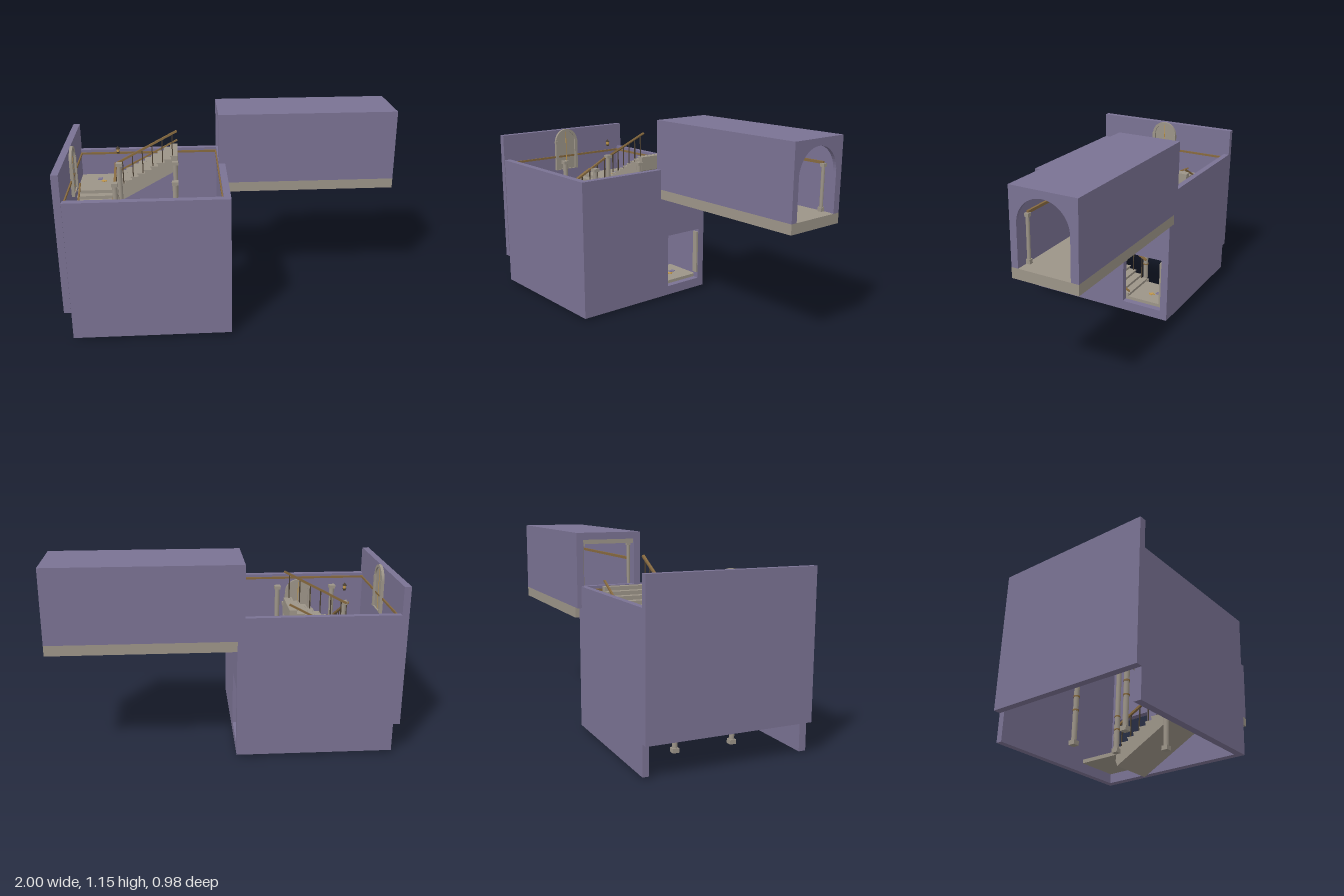
import * as THREE from 'three';

const mat = (name, color) => {
  const m = new THREE.MeshStandardMaterial({ color });
  m.name = name;
  return m;
};

export function createModel() {
  const wall = mat('purple plaster', 0x7a7293);
  const stone = mat('warm stone', 0x9c9488);
  const wood = mat('rail wood', 0x86693f);
  const dark = mat('dark iron', 0x4b4032);
  const gold = mat('gold', 0xc2984c);

  const model = new THREE.Group();
  model.name = 'stairTower';

  const add = (name, geo, m, parent = model) => {
    const mesh = new THREE.Mesh(geo, m);
    mesh.name = name;
    parent.add(mesh);
    return mesh;
  };
  // Box given by its lower and upper corners
  const box = (name, a, b, m, parent = model) => {
    const mesh = add(name, new THREE.BoxGeometry(b[0] - a[0], b[1] - a[1], b[2] - a[2]), m, parent);
    mesh.position.set((a[0] + b[0]) / 2, (a[1] + b[1]) / 2, (a[2] + b[2]) / 2);
    return mesh;
  };
  const poly = (pts) => new THREE.Shape(pts.map((p) => new THREE.Vector2(p[0], p[1])));
  const rect = (x0, y0, x1, y1) => poly([[x0, y0], [x1, y0], [x1, y1], [x0, y1]]);
  const extrude = (shape, depth) =>
    new THREE.ExtrudeGeometry(shape, { depth, bevelEnabled: false, curveSegments: 14 });
  // Round-headed outline, open at the bottom edge
  const arch = (cx, y0, halfWidth, top) => {
    const s = new THREE.Shape();
    s.moveTo(cx - halfWidth, y0);
    s.lineTo(cx + halfWidth, y0);
    s.lineTo(cx + halfWidth, top - halfWidth);
    s.absarc(cx, top - halfWidth, halfWidth, 0, Math.PI, false);
    s.lineTo(cx - halfWidth, y0);
    return s;
  };
  // Extrusion along +x of a shape drawn in (-z, y)
  const sideways = (name, shape, x, depth, m, parent) => {
    const mesh = add(name, extrude(shape, depth), m, parent);
    mesh.rotation.y = Math.PI / 2;
    mesh.position.x = x;
    return mesh;
  };

  // Tower walls, with an entrance in the right-hand wall
  box('frontWall', [-0.96, 0.012, 0.445], [-0.05, 0.845, 0.487], wall);
  box('backWall', [-0.96, 0.012, -0.465], [-0.05, 0.845, -0.43], wall);
  box('tallSideWall', [-1, 0.18, -0.465], [-0.96, 1.007, 0.49], wall);
  const entryWall = rect(-0.445, 0.012, 0.43, 0.845);
  entryWall.holes.push(rect(0.16, 0.07, 0.42, 0.41));
  sideways('entranceWall', entryWall, -0.09, 0.04, wall);

  // Thin rail around the top of the walls
  box('backTrim', [-0.96, 0.815, -0.43], [-0.09, 0.828, -0.422], wood);
  box('frontTrim', [-0.96, 0.815, 0.437], [-0.09, 0.828, 0.445], wood);
  box('leftTrim', [-0.96, 0.815, -0.43], [-0.952, 0.828, 0.445], wood);
  box('rightTrim', [-0.098, 0.815, -0.43], [-0.09, 0.828, 0.445], wood);

  // Stairs: each flight climbs along its local +x, inner edge at local z = W
  const RISE = 0.196, STEPS = 9, W = 0.25, BASE = 0.09;
  const flight = (name, x, y, z, turn, len) => {
    const g = new THREE.Group();
    g.name = name;
    g.position.set(x, y, z);
    g.rotation.y = turn;
    model.add(g);
    const run = len / STEPS, rise = RISE / STEPS;
    const pts = [[0, -0.06], [0.012, -0.09], [len, RISE - 0.09], [len, RISE]];
    for (let i = STEPS - 1; i >= 0; i--) {
      pts.push([i * run, (i + 1) * rise]);
      pts.push([i * run, i * rise]);
    }
    add('steps', extrude(poly(pts), W), stone, g);
    // Nosings, balusters and sloping handrail
    for (let i = 0; i < STEPS; i++) {
      const h = (i + 1) * rise;
      box('nosing', [i * run - 0.006, h - 0.006, 0.005], [i * run + 0.004, h + 0.001, W], stone, g);
    }
    for (let i = 0; i < 6; i++) {
      const s = len * (i + 0.5) / 6, h = RISE * s / len;
      box('baluster', [s - 0.003, h, W - 0.013], [s + 0.003, h + 0.155, W - 0.007], dark, g);
    }
    const slope = Math.atan2(RISE, len);
    const rail = add('handrail', new THREE.BoxGeometry(Math.hypot(len, RISE), 0.012, 0.014), wood, g);
    rail.position.set(len / 2, RISE / 2 + 0.157, W - 0.01);
    rail.rotation.z = slope;
    const inner = add('wallRail', new THREE.BoxGeometry(Math.hypot(len, RISE), 0.01, 0.01), wood, g);
    inner.position.set(len / 2, RISE / 2 + 0.03, 0.012);
    inner.rotation.z = slope;
  };
  flight('rightFlight', -0.09, BASE, -0.18, -Math.PI / 2, 0.375);
  flight('frontFlight', -0.34, BASE + RISE, 0.445, Math.PI, 0.37);
  flight('leftFlight', -0.96, BASE + 2 * RISE, 0.195, Math.PI / 2, 0.375);
  flight('backFlight', -0.71, BASE + 3 * RISE, -0.43, 0, 0.37);

  // Landings with small inlays, in climbing order
  const corners = [
    [-0.34, -0.09, -0.43, -0.18], [-0.34, -0.09, 0.195, 0.445],
    [-0.96, -0.71, 0.195, 0.445], [-0.96, -0.71, -0.43, -0.18],
  ];
  corners.forEach(([x0, x1, z0, z1], i) => {
    const y = BASE + i * RISE;
    box('landing', [x0, y - 0.022, z0], [x1, y, z1], stone);
    const cx = (x0 + x1) / 2, cz = (z0 + z1) / 2 - 0.03;
    box('inlay', [cx - 0.017, y, cz - 0.02], [cx + 0.01, y + 0.004, cz + 0.02], wall);
    box('inlayBar', [cx + 0.008, y, cz + 0.035], [cx + 0.04, y + 0.004, cz + 0.048], gold);
    box('inlayBar', [cx + 0.018, y, cz + 0.02], [cx + 0.028, y + 0.004, cz + 0.06], gold);
  });

  // Columns around the open well
  const column = (x, y0, y1, z, r, parent = model) => {
    const g = new THREE.Group();
    g.name = 'column';
    g.position.set(x, 0, z);
    parent.add(g);
    add('shaft', new THREE.CylinderGeometry(r, r, y1 - y0, 12), stone, g).position.y = (y0 + y1) / 2;
    box('foot', [-r * 1.25, y0, -r * 1.25], [r * 1.25, y0 + 0.025, r * 1.25], stone, g);
    box('cap', [-r * 1.25, y1 - 0.02, -r * 1.25], [r * 1.25, y1, r * 1.25], stone, g);
    return g;
  };
  for (const [x, z, y0] of [[-0.355, -0.165, 0.07], [-0.355, 0.183, 0.012], [-0.7, 0.183, 0.012], [-0.7, -0.165, 0.012]]) {
    const g = column(x, y0, 0.842, z, 0.015);
    for (const h of [0.21, 0.29]) {
      add('collar', new THREE.CylinderGeometry(0.018, 0.018, 0.008, 12), wood, g).position.y = h;
    }
  }

  // Small hanging lantern at the top landing
  const lantern = new THREE.Group();
  lantern.name = 'lantern';
  lantern.position.set(-0.7, 0.905, -0.162);
  model.add(lantern);
  add('lanternBase', new THREE.CylinderGeometry(0.011, 0.007, 0.012, 8), dark, lantern).position.y = 0.006;
  add('lanternGlass', new THREE.CylinderGeometry(0.009, 0.009, 0.018, 8), gold, lantern).position.y = 0.021;
  add('lanternRoof', new THREE.ConeGeometry(0.014, 0.017, 8), dark, lantern).position.y = 0.038;

  // Arched double doors on the inner walls; local +z faces the room
  const door = (name, x, y, z, turn) => {
    const g = new THREE.Group();
    g.name = name;
    g.position.set(x, y, z);
    g.rotation.y = turn;
    model.add(g);
    const frame = arch(0, 0, 0.086, 0.28);
    frame.holes.push(arch(0, 0.004, 0.068, 0.264));
    add('doorFrame', extrude(frame, 0.016), stone, g);
    add('doorLeaves', extrude(arch(0, 0, 0.07, 0.266), 0.007), stone, g);
    box('doorSplit', [-0.002, 0, 0.005], [0.002, 0.264, 0.009], gold, g);
    for (const s of [-1, 1]) {
      box('doorPilaster', [s * 0.077 - 0.01, 0, 0], [s * 0.077 + 0.01, 0.2, 0.019], stone, g);
    }
  };
  door('leftDoor', -0.96, 0.73, 0.012, Math.PI / 2);
  door('frontDoor', -0.53, 0.53, 0.445, Math.PI);
  door('rightDoor', -0.09, 0.33, 0.14, -Math.PI / 2);

  // Frame beside the lower entrance
  box('entranceJamb', [-0.088, 0.11, -0.42], [-0.052, 0.39, -0.408], stone);

  // Corridor: stone floor, hollow shell and arched end
  const corridor = new THREE.Group();
  corridor.name = 'corridor';
  model.add(corridor);
  box('corridorFloor', [-0.05, 0.66, -0.49], [1, 0.72, -0.1], stone, corridor);
  sideways('corridorShell', poly([
    [0.1, 0.72], [0.14, 0.72], [0.14, 1.11], [0.45, 1.11], [0.45, 0.72], [0.49, 0.72], [0.49, 1.15], [0.1, 1.15],
  ]), -0.09, 1.07, wall, corridor);
  const end = new THREE.Shape();
  end.moveTo(0.1, 0.72);
  end.lineTo(0.14, 0.72);
  end.lineTo(0.14, 0.957);
  end.absarc(0.2925, 0.957, 0.1525, Math.PI, 0, true);
  end.lineTo(0.445, 0.72);
  end.lineTo(0.49, 0.72);
  end.lineTo(0.49, 1.15);
  end.lineTo(0.1, 1.15);
  sideways('archedEnd', end, 0.98, 0.02, wall, corridor);
  box('lintel', [-0.08, 1.085, -0.45], [-0.05, 1.11, -0.14], stone, corridor);
  for (const z of [-0.15, -0.437]) {
    column(0.92, 0.72, 0.99, z, 0.01, corridor);
    column(-0.03, 0.72, 1.09, z, 0.01, corridor);
    box('sideRail', [-0.03, 0.985, z - 0.006], [0.92, 1, z + 0.006], wood, corridor);
  }
  return model;
}
